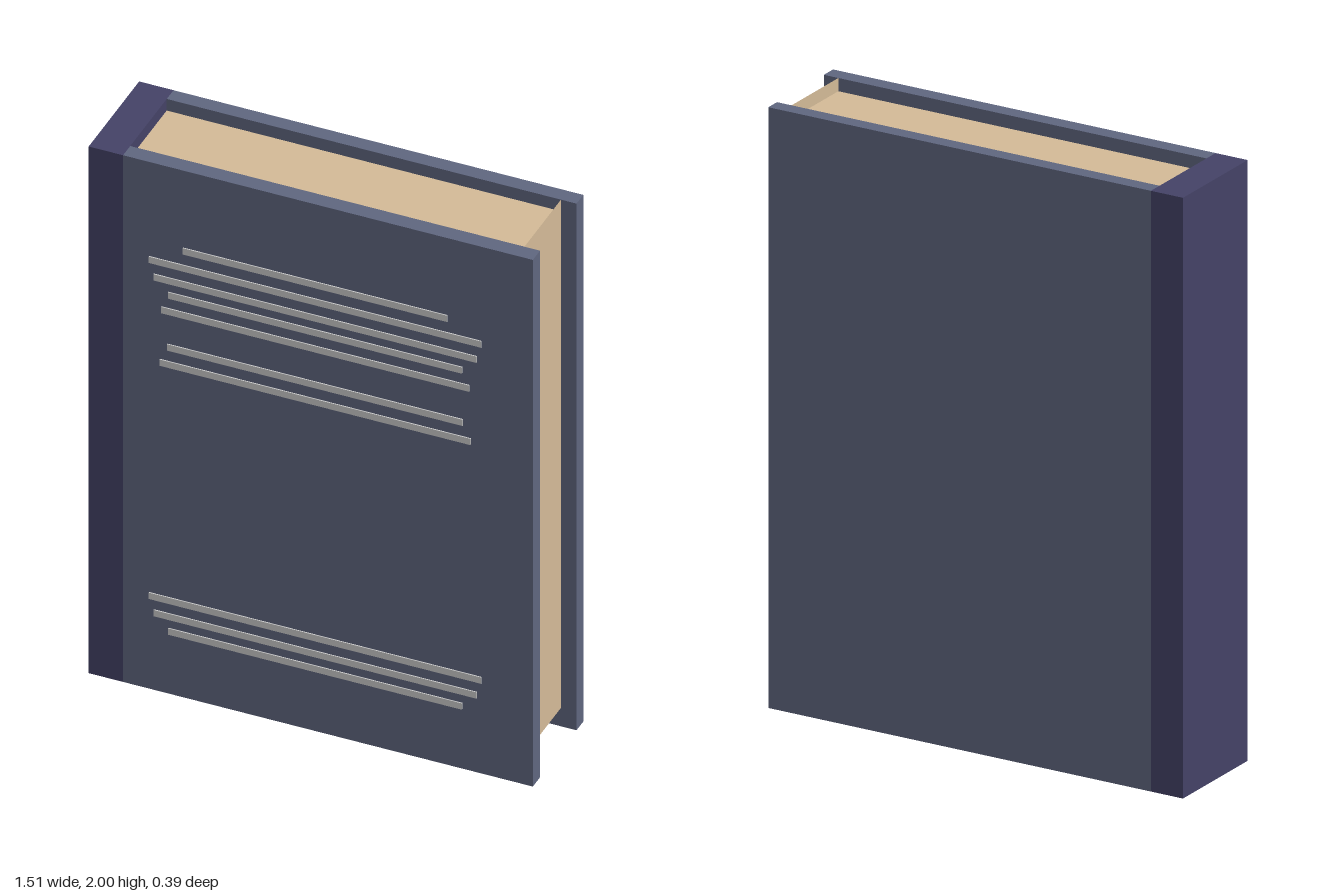
import * as THREE from 'three';

export function createModel() {
  const book = new THREE.Group();
  book.name = 'book';
  const mat = (color, side = THREE.FrontSide) => new THREE.MeshStandardMaterial({ color, side });
  const coverMat = mat(0x5f667f);
  const spineMat = mat(0x444266);
  const pageMat = mat(0xd3ba97);
  const lineMat = mat(0xcccccc);

  // Box given by its limits on each axis
  function block(name, material, [x0, x1], [y0, y1], [z0, z1]) {
    const mesh = new THREE.Mesh(new THREE.BoxGeometry(x1 - x0, y1 - y0, z1 - z0), material);
    mesh.position.set((x0 + x1) / 2, (y0 + y1) / 2, (z0 + z1) / 2);
    mesh.name = name;
    book.add(mesh);
    return mesh;
  }

  // Hard covers and spine
  block('spine', spineMat, [-0.757, -0.64], [0, 2], [-0.195, 0.191]);
  block('frontCover', coverMat, [-0.64, 0.755], [0, 2], [0.136, 0.191]);
  block('backCover', coverMat, [-0.64, 0.755], [0, 2], [-0.195, -0.143]);

  // Page block, with its fore edge rising as a thin lip to the cover's top
  block('pages', pageMat, [-0.64, 0.702], [0.07, 1.956], [-0.143, 0.136]);
  const lip = new THREE.Mesh(new THREE.PlaneGeometry(0.279, 0.044), mat(0xd3ba97, THREE.DoubleSide));
  lip.rotation.y = Math.PI / 2;
  lip.position.set(0.702, 1.978, -0.0035);
  lip.name = 'foreEdgeLip';
  book.add(lip);

  // Raised bars on the front cover: [height, half width]
  const bars = [
    [1.696, 0.45], [1.631, 0.566], [1.569, 0.55], [1.514, 0.5], [1.452, 0.524],
    [1.316, 0.503], [1.251, 0.529],
    [0.355, 0.566], [0.294, 0.55], [0.238, 0.5],
  ];
  bars.forEach(([y, w], i) => {
    block(`coverBar${i + 1}`, lineMat, [0.015 - w, 0.015 + w], [y - 0.012, y + 0.012], [0.187, 0.195]);
  });
  return book;
}
